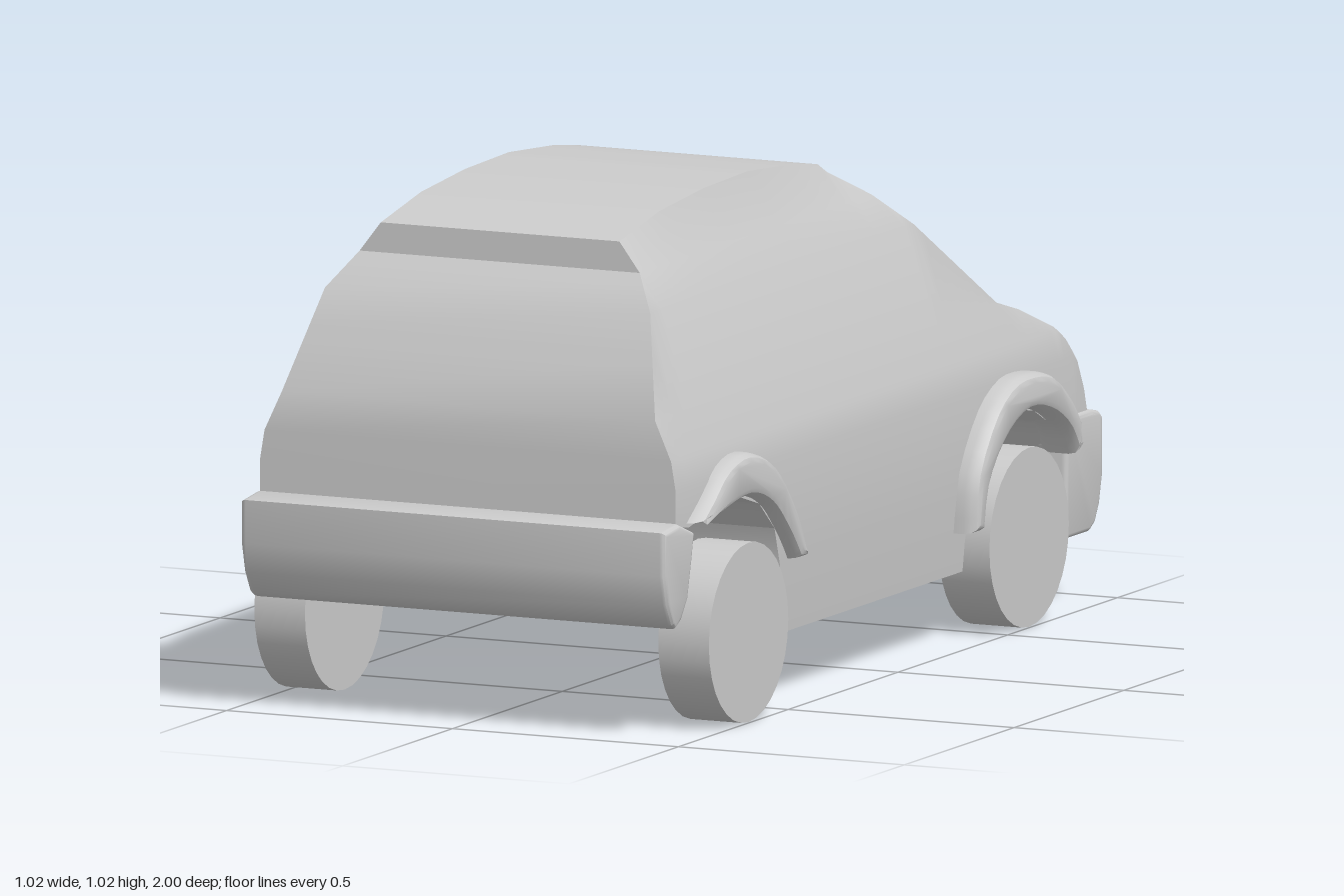
import * as THREE from 'three';
import { toCreasedNormals } from 'three/addons/utils/BufferGeometryUtils.js';

const material = new THREE.MeshStandardMaterial({ color: 0xcccccc, side: THREE.DoubleSide });

// Side outlines of the body as [z, y], nose to tail
const TOP = [[-0.945, 0.38], [-0.93, 0.43], [-0.9, 0.49], [-0.86, 0.54], [-0.82, 0.57], [-0.71, 0.62],
  [-0.63, 0.645], [-0.36, 0.84], [-0.27, 0.91], [-0.12, 0.99], [0, 1.008], [0.2, 1.024], [0.4, 1.02],
  [0.6, 1.004], [0.783, 0.97], [0.785, 0.91], [0.84, 0.84], [0.927, 0.64], [0.93, 0.56]];
const BOTTOM = [[-0.945, 0.32], [-0.83, 0.32], [-0.78, 0.38], [-0.7, 0.42], [-0.6, 0.437], [-0.5, 0.4],
  [-0.43, 0.32], [-0.4, 0.2], [-0.397, 0.14], [0.45, 0.14], [0.452, 0.28], [0.48, 0.36], [0.55, 0.42],
  [0.65, 0.45], [0.78, 0.437], [0.87, 0.42], [0.93, 0.43]];
// Half width of the body by height, as [y, x]
const WIDTH = [[0.14, 0.45], [0.3, 0.46], [0.5, 0.46], [0.56, 0.45], [0.64, 0.413], [0.84, 0.36],
  [0.91, 0.31], [0.97, 0.264], [1.1, 0.264]];

function sample(table, t) {
  if (t <= table[0][0]) return table[0][1];
  for (let i = 1; i < table.length; i++) {
    const [a, va] = table[i - 1], [b, vb] = table[i];
    if (t <= b) return va + (vb - va) * (t - a) / (b - a);
  }
  return table[table.length - 1][1];
}

// Body loft: sections across the car, clamped between the two outlines
function bodyGeometry() {
  const stations = new Set([...TOP, ...BOTTOM].map(p => p[0]));
  for (let z = -0.92; z < 0.92; z += 0.04) stations.add(z);
  const levels = WIDTH.map(p => p[0]).filter(y => y < 0.95);
  const rings = [...stations].sort((a, b) => a - b).map(z => {
    const top = sample(TOP, z), bottom = sample(BOTTOM, z);
    const side = [bottom, ...levels.map(y => Math.min(top, Math.max(bottom, y))), top]
      .map(y => new THREE.Vector3(sample(WIDTH, y), y, z));
    return [...side, ...side.map(p => new THREE.Vector3(-p.x, p.y, z)).reverse()];
  });
  const out = [];
  const tri = (a, b, c) => {
    if (new THREE.Triangle(a, b, c).getArea() > 1e-9) for (const p of [a, b, c]) out.push(p.x, p.y, p.z);
  };
  const n = rings[0].length;
  for (let i = 0; i < rings.length - 1; i++) {
    const r = rings[i], s = rings[i + 1];
    for (let j = 0; j < n; j++) {
      const k = (j + 1) % n;
      tri(r[j], r[k], s[k]);
      tri(r[j], s[k], s[j]);
    }
  }
  const nose = rings[0], tail = rings[rings.length - 1];
  for (let j = 1; j < n - 1; j++) {
    tri(nose[0], nose[j + 1], nose[j]);
    tri(tail[0], tail[j], tail[j + 1]);
  }
  const g = new THREE.BufferGeometry();
  g.setAttribute('position', new THREE.Float32BufferAttribute(out, 3));
  return toCreasedNormals(g, 0.45);
}

// Side outline [z, y] extruded across x and centred on x = 0
function extrudeAcross(points, width, bevel = 0, inset = 0) {
  const shape = new THREE.Shape(points.map(p => new THREE.Vector2(p[0], p[1])));
  const g = new THREE.ExtrudeGeometry(shape, {
    depth: width - 2 * bevel, bevelEnabled: bevel > 0, bevelThickness: bevel,
    bevelSize: inset, bevelOffset: -inset, bevelSegments: 3,
  });
  g.translate(0, 0, -(width - 2 * bevel) / 2);
  g.rotateY(-Math.PI / 2);
  return toCreasedNormals(g, 0.6);
}

// Smooth curve through a few points
function smooth(points, count = 20) {
  const curve = new THREE.SplineCurve(points.map(p => new THREE.Vector2(p[0], p[1])));
  return curve.getPoints(count).map(p => [p.x, p.y]);
}

export function createModel() {
  const model = new THREE.Group();
  const add = (name, geometry, x = 0, y = 0, z = 0) => {
    const mesh = new THREE.Mesh(geometry, material);
    mesh.name = name;
    mesh.position.set(x, y, z);
    model.add(mesh);
    return mesh;
  };

  add('body', bodyGeometry());

  // Bumpers at both ends
  add('tailBumper', extrudeAcross([[0.86, 0.41], [0.87, 0.36], [0.89, 0.28], [0.92, 0.24], [0.945, 0.226],
    [0.96, 0.235], [0.985, 0.28], [1, 0.34], [1, 0.428], [0.93, 0.436]], 0.94, 0.012, 0.01));
  add('noseBumper', extrudeAcross([[-0.83, 0.14], [-0.94, 0.14], [-0.965, 0.155], [-0.985, 0.19], [-1, 0.25],
    [-1, 0.365], [-0.985, 0.378], [-0.95, 0.385], [-0.83, 0.385]], 0.94, 0.012, 0.01));

  // Flared wheel arches, outer edge then inner edge
  const tailArch = extrudeAcross([
    ...smooth([[0.375, 0.29], [0.42, 0.38], [0.5, 0.475], [0.57, 0.52], [0.66, 0.54], [0.75, 0.52], [0.82, 0.47], [0.88, 0.43]]),
    ...smooth([[0.78, 0.432], [0.65, 0.45], [0.55, 0.42], [0.47, 0.35], [0.42, 0.29]]),
  ], 0.09, 0.03, 0.018);
  const noseArch = extrudeAcross([
    ...smooth([[-0.345, 0.225], [-0.36, 0.34], [-0.44, 0.45], [-0.53, 0.503], [-0.63, 0.51], [-0.72, 0.49], [-0.8, 0.43], [-0.84, 0.38]]),
    ...smooth([[-0.825, 0.315], [-0.78, 0.375], [-0.7, 0.42], [-0.6, 0.437], [-0.5, 0.4], [-0.42, 0.32], [-0.395, 0.225]]),
  ], 0.1, 0.03, 0.018);

  // Solid disc wheels
  const wheel = new THREE.CylinderGeometry(0.181, 0.181, 0.112, 32).rotateZ(Math.PI / 2);
  for (const [side, s] of [['left', 1], ['right', -1]]) {
    add(side + 'TailArch', tailArch, s * 0.448);
    add(side + 'NoseArch', noseArch, s * 0.457);
    add(side + 'TailWheel', wheel, s * 0.447 - 0.008, 0.181, 0.67);
    add(side + 'NoseWheel', wheel, s * 0.447 - 0.008, 0.181, -0.608);
  }
  return model;
}
